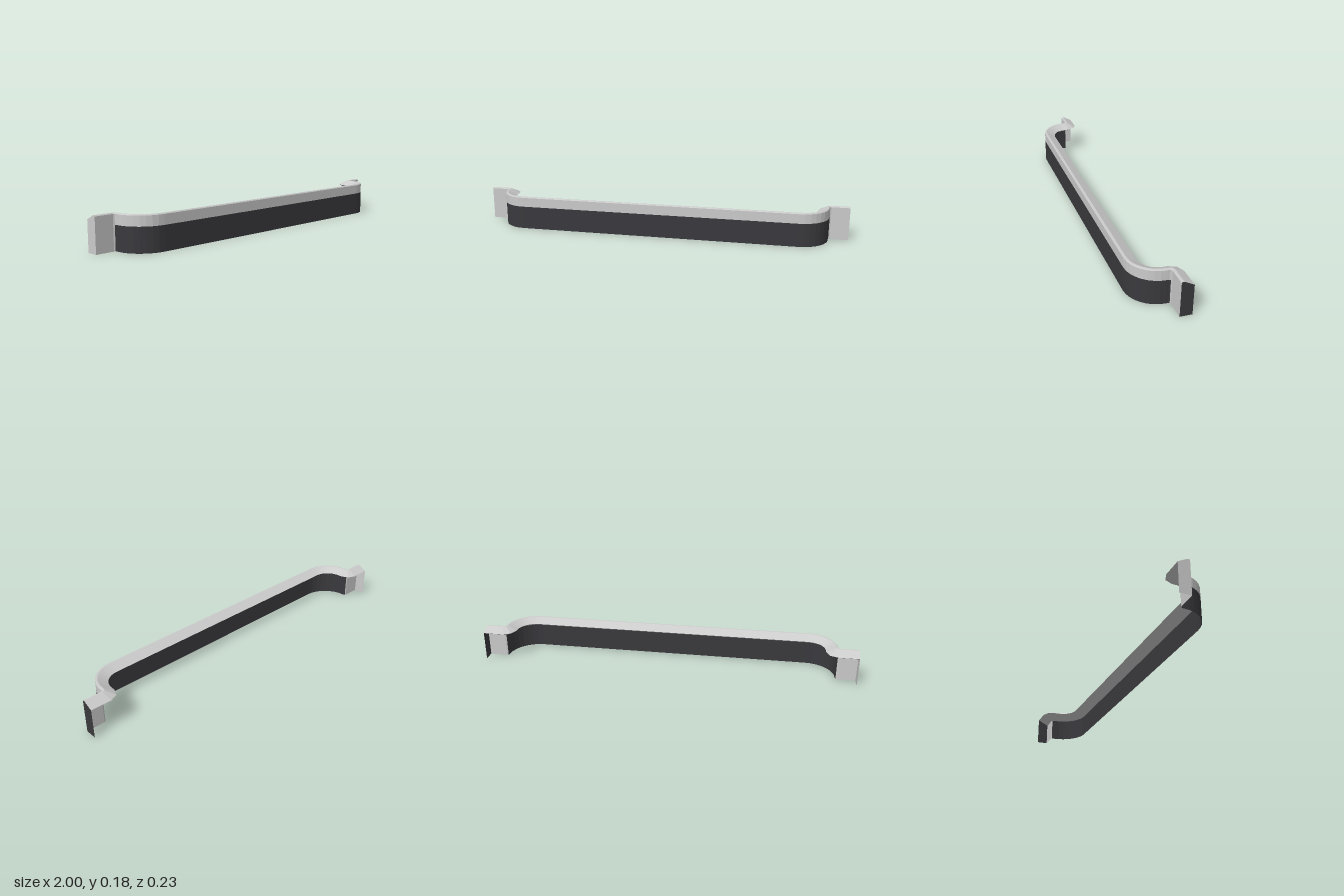
import * as THREE from 'three';

const light = new THREE.MeshStandardMaterial({ color: 0xcccccc, flatShading: true, side: THREE.DoubleSide });
const dark = new THREE.MeshStandardMaterial({ color: 0x3a3a3e, flatShading: true, side: THREE.DoubleSide });

// Plan outline of the front face as [x, z], from the right wing to the left wing
function planPath() {
  const half = [[0.745, 0.113]];
  const r = 0.15, steps = 8;
  for (let i = 1; i <= steps; i++) {
    const a = (i / steps) * Math.PI / 2;
    half.push([0.745 + r * Math.sin(a), 0.113 - r + r * Math.cos(a)]);
  }
  half.push([0.895, -0.045], [0.898, -0.052], [0.905, -0.055], [1, -0.055]);
  return [...half.map(([x, z]) => [-x, z]).reverse(), ...half];
}

// Position and mitred outward direction at every path point
function makeFrames(path) {
  const normal = (a, b) => new THREE.Vector2(a[1] - b[1], b[0] - a[0]).normalize();
  return path.map((p, i) => {
    const before = normal(path[Math.max(i - 1, 0)], path[Math.max(i, 1)]);
    const last = path.length - 1;
    const after = normal(path[Math.min(i, last - 1)], path[Math.min(i + 1, last)]);
    const out = before.clone().add(after).normalize();
    out.divideScalar(out.dot(before));
    return { x: p[0], z: p[1], out };
  });
}

// Sweep a profile of [outward offset, height] points along the frames
function sweep(name, frames, profile, material) {
  const positions = [], index = [], n = profile.length;
  frames.forEach((f, i) => {
    profile.forEach(([o, y], j) => {
      positions.push(f.x + f.out.x * o, y, f.z + f.out.y * o);
      if (i && j) {
        const a = (i - 1) * n + j - 1, b = i * n + j - 1;
        index.push(a, b, b + 1, a, b + 1, a + 1);
      }
    });
  });
  const geometry = new THREE.BufferGeometry();
  geometry.setAttribute('position', new THREE.Float32BufferAttribute(positions, 3));
  geometry.setIndex(index);
  geometry.computeVertexNormals();
  const mesh = new THREE.Mesh(geometry, material);
  mesh.name = name;
  return mesh;
}

export function createModel() {
  const group = new THREE.Group();
  group.name = 'trimRail';
  const frames = makeFrames(planPath());
  const count = frames.length;

  // Wedge-shaped upper moulding with a thin top rim
  const moulding = [[0, 0.123], [0, 0.173], [-0.004, 0.178], [-0.012, 0.178], [-0.06, 0.153], [0, 0.123]];
  group.add(sweep('upperMoulding', frames, moulding, light));

  // Thin lower skirt: dark along the rail, light on the end wings
  const skirt = [[0, 0], [0, 0.123]];
  group.add(sweep('lowerPanel', frames.slice(2, count - 2), skirt, dark));
  group.add(sweep('rightWingPanel', frames.slice(0, 3), skirt, light));
  group.add(sweep('leftWingPanel', frames.slice(count - 3), skirt, light));

  // Plates closing the outer ends of the wings
  for (const side of [-1, 1]) {
    const shape = new THREE.Shape([
      [0, 0], [0.06, 0], [0.06, 0.153], [0.012, 0.178], [0.004, 0.178], [0, 0.173],
    ].map(([u, v]) => new THREE.Vector2(side * u, v)));
    const cap = new THREE.Mesh(new THREE.ShapeGeometry(shape), side > 0 ? dark : light);
    cap.name = side > 0 ? 'leftEndPlate' : 'rightEndPlate';
    cap.rotation.y = side * Math.PI / 2;
    cap.position.set(side, 0, -0.055);
    group.add(cap);
  }
  return group;
}
